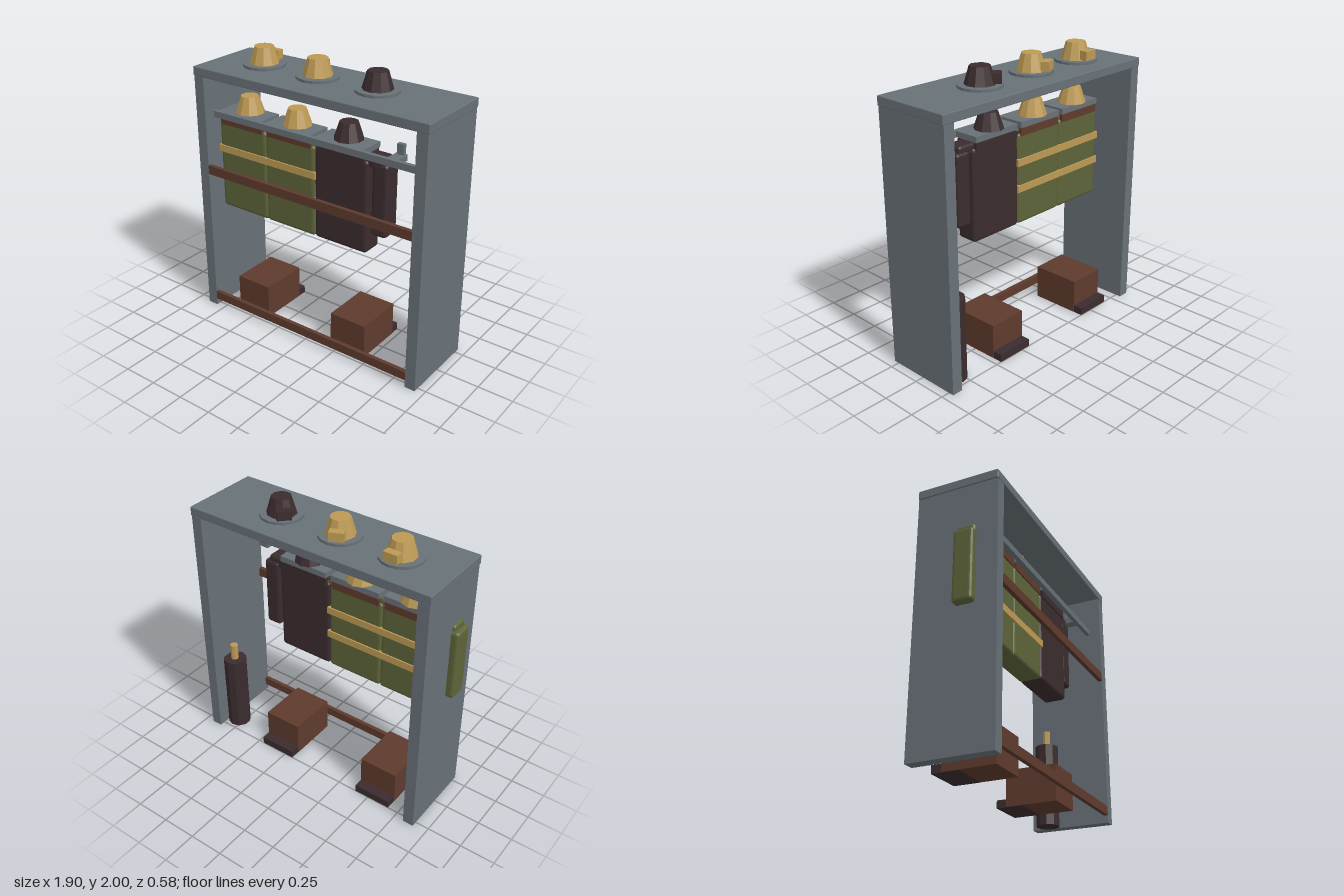
import * as THREE from 'three';
import { RoundedBoxGeometry } from 'three/addons/geometries/RoundedBoxGeometry.js';

const mat = (name, color, flatShading = false) => {
  const m = new THREE.MeshStandardMaterial({ color, flatShading });
  m.name = name;
  return m;
};

export function createModel() {
  const grey = mat('steel grey', 0x687177, true);
  const olive = mat('olive', 0x5e6439, true);
  const dark = mat('dark maroon', 0x3b2c2e, true);
  const yellow = mat('ochre yellow', 0xbd9a54, true);
  const brown = mat('brown', 0x5e3b2d, true);

  const model = new THREE.Group();
  model.name = 'equipmentRack';

  const add = (name, geometry, material, parent = model) => {
    const mesh = new THREE.Mesh(geometry, material);
    mesh.name = name;
    parent.add(mesh);
    return mesh;
  };
  // Boxes are given by their [min, max] range on each axis
  const place = (mesh, x, y, z) =>
    mesh.position.set((x[0] + x[1]) / 2, (y[0] + y[1]) / 2, (z[0] + z[1]) / 2);
  const box = (name, material, x, y, z, parent = model) => {
    const geometry = new THREE.BoxGeometry(x[1] - x[0], y[1] - y[0], z[1] - z[0]);
    place(add(name, geometry, material, parent), x, y, z);
  };
  const softBox = (name, material, x, y, z, radius, parent = model) => {
    const geometry = new RoundedBoxGeometry(x[1] - x[0], y[1] - y[0], z[1] - z[0], 2, radius);
    place(add(name, geometry, material, parent), x, y, z);
  };

  // Rack frame
  box('leftSidePanel', grey, [0.86, 0.938], [0, 1.8], [-0.29, 0.29]);
  box('rightSidePanel', grey, [-0.9, -0.82], [0, 1.8], [-0.29, 0.29]);
  softBox('topBoard', grey, [-0.907, 0.945], [1.8, 1.865], [-0.292, 0.292], 0.006);
  box('middleRail', brown, [-0.82, 0.86], [1.09, 1.155], [0.26, 0.29]);
  box('bottomRail', brown, [-0.82, 0.86], [0.053, 0.117], [0.26, 0.29]);

  // Shelf lip with a hook at its end
  box('shelfLip', grey, [-0.82, 0.86], [1.495, 1.54], [0.175, 0.205]);
  box('hookArm', grey, [0.6, 0.675], [1.5, 1.54], [0.07, 0.175]);
  box('hookUpright', grey, [0.615, 0.662], [1.5, 1.61], [0.07, 0.1]);

  // Tapered helmet standing on its base
  const helmet = (name, material, x, y, z, height, base, top, turn = 0) => {
    const group = new THREE.Group();
    group.name = name;
    group.position.set(x, y, z);
    group.rotation.y = turn;
    model.add(group);
    add('shell', new THREE.CylinderGeometry(top, base, height, 10), material, group)
      .position.y = height / 2;
    return group;
  };

  // Helmets on the top board, each with a brim and a badge
  [[-0.535, 0, yellow], [-0.083, 0.42, yellow], [0.385, 0.8, dark]].forEach(([x, turn, material]) => {
    const group = helmet('topHelmet', material, x, 1.865, -0.02, 0.135, 0.108, 0.068, turn);
    add('brim', new THREE.CylinderGeometry(0.148, 0.148, 0.018, 16), grey, group).position.y = 0.009;
    box('badge', material, [-0.05, 0.05], [0.025, 0.088], [-0.135, -0.08], group);
  });

  // Coats with shoulders, collar and bands, a shelf plate and a helmet above each
  [[-0.605, olive, yellow, -1], [-0.19, olive, yellow, 0], [0.23, dark, dark, 1]]
    .forEach(([cx, cloth, trim, sleeveSide]) => {
      const coat = new THREE.Group();
      coat.name = 'coat';
      coat.position.x = cx;
      model.add(coat);
      softBox('coatBody', cloth, [-0.21, 0.21], [0.8, 1.46], [0, 0.16], 0.025, coat);
      softBox('shoulders', cloth, [-0.315, 0.315], [1.415, 1.497], [0.015, 0.14], 0.022, coat);
      box('collar', cloth === dark ? dark : brown, [-0.185, 0.185], [1.44, 1.493], [-0.008, 0.168], coat);
      if (sleeveSide) {
        const a = 0.23 * sleeveSide, b = 0.347 * sleeveSide;
        softBox('sleeve', cloth, [Math.min(a, b), Math.max(a, b)], [0.945, 1.455], [0.003, 0.143], 0.022, coat);
      }
      if (trim === yellow) {
        for (const y of [1.04, 1.23]) {
          box('reflectiveBand', yellow, [-0.214, 0.22], [y, y + 0.05], [-0.01, 0.17], coat);
        }
      }
      box('shelfPlate', grey, [-0.19, 0.19], [1.5, 1.54], [-0.012, 0.175], coat);
      helmet('shelfHelmet', trim, cx, 1.54, 0.065, 0.118, 0.102, 0.063);
    });

  // Boots: a tall block with a low toe at the back
  for (const x of [-0.533, 0.32]) {
    box('bootBlock', brown, [x - 0.142, x + 0.142], [0.002, 0.253], [-0.18, 0.185]);
    box('bootToe', dark, [x - 0.138, x + 0.138], [0, 0.055], [-0.25, -0.06]);
  }

  // Air cylinder with its valve
  add('airCylinder', new THREE.CylinderGeometry(0.085, 0.085, 0.6, 10), dark)
    .position.set(0.79, 0.3, -0.145);
  add('cylinderValve', new THREE.CylinderGeometry(0.028, 0.028, 0.12, 8), yellow)
    .position.set(0.79, 0.66, -0.145);

  return model;
}
